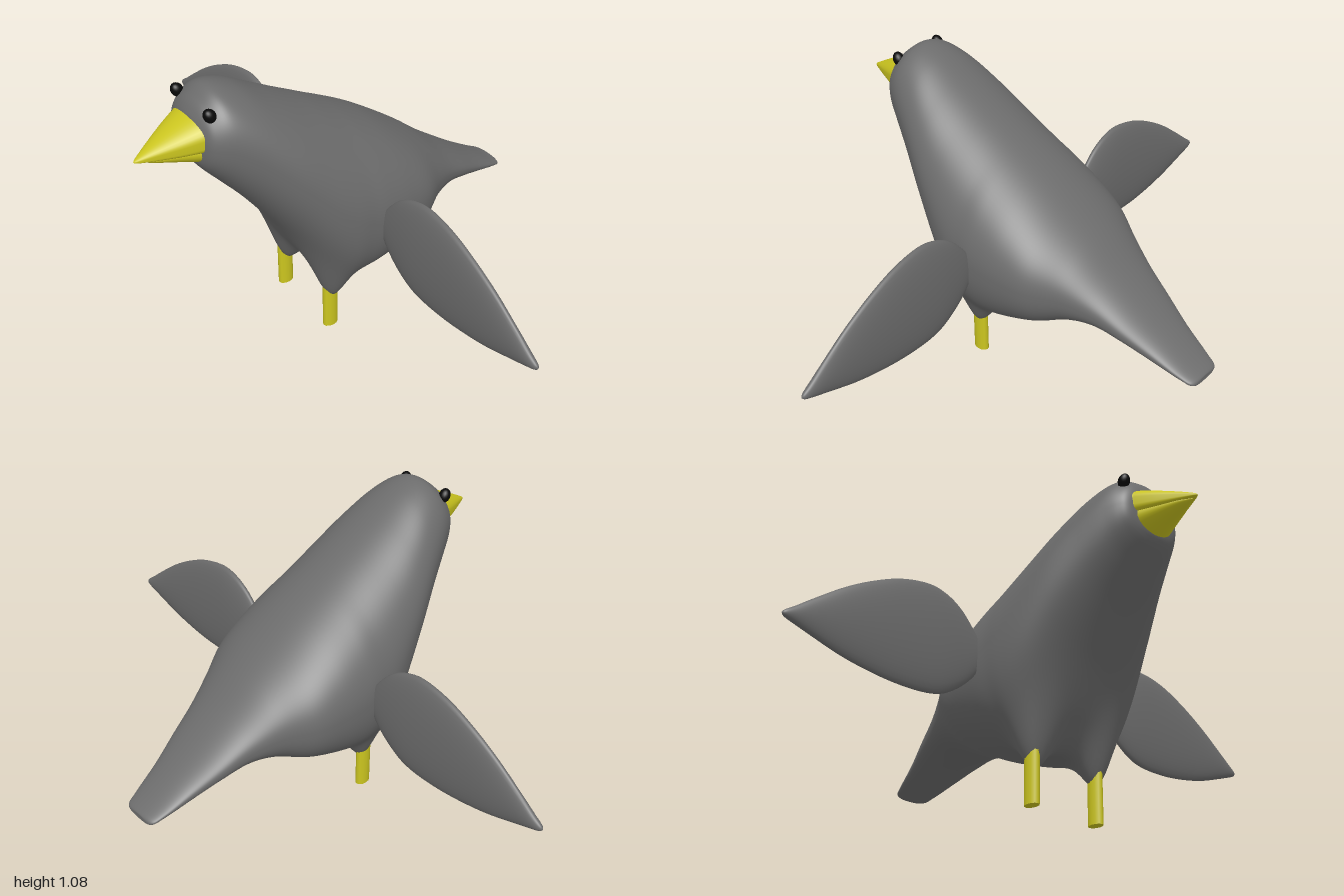
import * as THREE from 'three';

// Smooth closed skin along z through stations [z, top, bottom, halfWidth]
function loft(stations, rings, sides, lowerPower = 2, warp = null) {
  const heights = new THREE.CatmullRomCurve3(
    stations.map(s => new THREE.Vector3(s[0], s[1], s[2])), false, 'catmullrom', 0.5);
  const widths = new THREE.CatmullRomCurve3(
    stations.map(s => new THREE.Vector3(s[3], 0, 0)), false, 'catmullrom', 0.5);
  const pos = [], index = [], p = new THREE.Vector3();
  for (let i = 0; i <= rings; i++) {
    const h = heights.getPoint(i / rings), w = Math.max(0, widths.getPoint(i / rings).x);
    const mid = (h.y + h.z) / 2, half = (h.y - h.z) / 2;
    for (let j = 0; j < sides; j++) {
      const a = j / sides * Math.PI * 2, c = Math.cos(a), s = Math.sin(a);
      const e = s < 0 ? 2 / lowerPower : 1;
      p.set(w * Math.sign(c) * Math.abs(c) ** e, mid + half * Math.sign(s) * Math.abs(s) ** e, h.x);
      if (warp) warp(p, s);
      pos.push(p.x, p.y, p.z);
    }
  }
  for (let i = 0; i < rings; i++) {
    for (let j = 0; j < sides; j++) {
      const a = i * sides + j, b = i * sides + (j + 1) % sides;
      index.push(a, b, a + sides, b, b + sides, a + sides);
    }
  }
  const g = new THREE.BufferGeometry();
  g.setAttribute('position', new THREE.Float32BufferAttribute(pos, 3));
  g.setIndex(index);
  g.computeVertexNormals();
  return g;
}

export function createModel() {
  const feather = new THREE.MeshStandardMaterial({ name: 'feather grey', color: 0x6c6c6c });
  const yellow = new THREE.MeshStandardMaterial({ name: 'beak yellow', color: 0xcbc51f });
  const black = new THREE.MeshStandardMaterial({ name: 'eye black', color: 0x080808 });
  const bird = new THREE.Group();
  bird.name = 'bird';
  const add = (name, geometry, material) => {
    const m = new THREE.Mesh(geometry, material);
    m.name = name;
    bird.add(m);
    return m;
  };

  // Body, head and tail in one skin; the belly is drawn down into two thighs
  const body = [
    [-0.75, 0.285, 0.283, 0], [-0.745, 0.298, 0.272, 0.06], [-0.7, 0.322, 0.283, 0.08],
    [-0.6, 0.385, 0.31, 0.105], [-0.5, 0.455, 0.34, 0.135], [-0.4, 0.53, 0.357, 0.165],
    [-0.3, 0.615, 0.338, 0.21], [-0.2, 0.69, 0.292, 0.27], [-0.1, 0.76, 0.252, 0.295],
    [0, 0.82, 0.22, 0.305], [0.07, 0.86, 0.213, 0.302], [0.13, 0.895, 0.23, 0.297],
    [0.2, 0.935, 0.32, 0.28], [0.3, 0.995, 0.49, 0.245], [0.4, 1.055, 0.635, 0.2],
    [0.48, 1.077, 0.735, 0.163], [0.53, 1.05, 0.795, 0.135], [0.555, 1.02, 0.83, 0.108],
    [0.567, 0.985, 0.86, 0.06], [0.57, 0.92, 0.919, 0]];
  const thighs = (p, s) => {
    if (s >= 0) return;
    const d2 = (Math.abs(p.x) - 0.138) ** 2 + (p.z - 0.135) ** 2;
    p.y -= 0.115 * Math.exp(-d2 / 0.0042) * Math.min(1, -s * 1.6);
  };
  add('body', loft(body, 152, 96, 2.4, thighs), feather);

  // Leaf-shaped wings, lofted from root to tip and turned out to each side
  const wing = [
    [0.285, 0.5, 0.498, 0], [0.292, 0.555, 0.445, 0.013], [0.32, 0.6, 0.405, 0.02],
    [0.37, 0.652, 0.36, 0.026], [0.43, 0.685, 0.325, 0.03], [0.5, 0.696, 0.31, 0.031],
    [0.6, 0.675, 0.309, 0.03], [0.7, 0.63, 0.32, 0.028], [0.8, 0.57, 0.34, 0.025],
    [0.9, 0.495, 0.371, 0.02], [0.96, 0.447, 0.391, 0.015], [0.99, 0.425, 0.402, 0.009],
    [1, 0.414, 0.412, 0]];
  for (const side of [1, -1]) {
    const name = side > 0 ? 'left' : 'right';
    const w = add(name + 'Wing', loft(wing, 60, 32).rotateY(side * Math.PI / 2), feather);
    w.position.set(0, side > 0 ? 0 : 0.015, 0.022);

    // Flat-sided legs
    const bottom = side > 0 ? 0 : 0.01;
    const leg = add(name + 'Leg', new THREE.CylinderGeometry(0.02, 0.02, 0.2 - bottom, 12), yellow);
    leg.scale.z = 1.5;
    leg.position.set(side > 0 ? 0.13 : -0.145, (0.2 + bottom) / 2, 0.128);

    // Eyes
    const eye = add(name + 'Eye', new THREE.SphereGeometry(0.022, 20, 14), black);
    eye.scale.set(0.9, 1.15, 0.9);
    eye.rotation.x = 0.5;
    eye.position.set(side > 0 ? 0.084 : -0.1, 1.026, 0.53);
  }

  // Beak: a broad upper half overhanging a narrower lower half
  add('upperBeak', loft([
    [0.54, 0.915, 0.914, 0], [0.542, 1.005, 0.9, 0.098], [0.56, 1.003, 0.9, 0.094],
    [0.62, 0.977, 0.9, 0.069], [0.69, 0.943, 0.902, 0.035], [0.74, 0.916, 0.904, 0.009],
    [0.75, 0.908, 0.907, 0]], 48, 32, 5), yellow);
  add('lowerBeak', loft([
    [0.54, 0.905, 0.904, 0], [0.542, 0.95, 0.842, 0.085], [0.56, 0.948, 0.845, 0.08],
    [0.62, 0.935, 0.865, 0.056], [0.69, 0.917, 0.887, 0.026], [0.73, 0.905, 0.901, 0]],
  40, 32), yellow);

  return bird;
}
